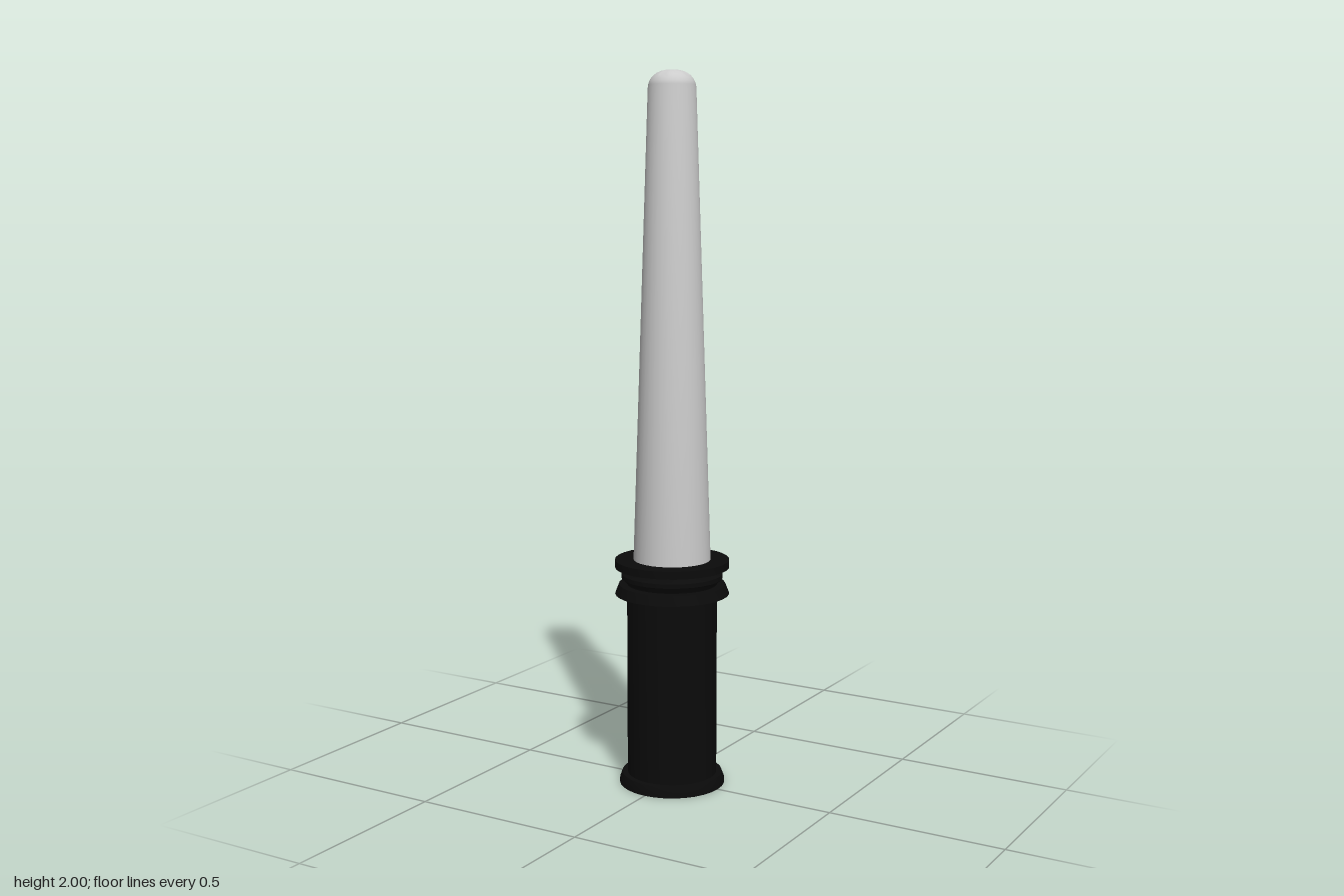
import * as THREE from 'three';
import { toCreasedNormals } from 'three/addons/utils/BufferGeometryUtils.js';

const SIDES = 32;

export function createModel() {
  const group = new THREE.Group();
  const black = new THREE.MeshStandardMaterial({ color: 0x0b0b0b });
  const grey = new THREE.MeshStandardMaterial({ color: 0xcccccc });

  // Turned part from [radius, height] pairs, listed bottom to top
  function turned(name, profile, material) {
    const points = profile.map(([r, y]) => new THREE.Vector2(r, y));
    const geometry = toCreasedNormals(new THREE.LatheGeometry(points, SIDES), 0.6);
    const mesh = new THREE.Mesh(geometry, material);
    mesh.name = name;
    group.add(mesh);
  }

  // Handle: flared foot and plain grip
  turned('endCap', [[0, 0], [0.15, 0], [0.15, 0.008], [0.142, 0.03], [0.12, 0.03]], black);
  turned('grip', [[0.127, 0.02], [0.127, 0.565]], black);

  // Collar: sloped lower flange, bevelled middle ring and flat upper flange
  turned('lowerFlange', [[0.12, 0.552], [0.161, 0.552], [0.15, 0.58], [0.11, 0.58]], black);
  turned('collarRing', [[0.125, 0.575], [0.128, 0.583], [0.143, 0.598], [0.143, 0.61], [0.128, 0.622], [0.125, 0.63]], black);
  turned('upperFlange', [[0.11, 0.628], [0.161, 0.628], [0.161, 0.65], [0, 0.65]], black);

  // Tapered wand with a rounded tip
  const wand = [[0.109, 0.64], [0.066, 1.95]];
  for (let i = 1; i <= 8; i++) {
    const a = (i / 8) * Math.PI / 2;
    wand.push([0.066 * Math.cos(a) ** 0.8, 1.95 + 0.05 * Math.sin(a)]);
  }
  wand[wand.length - 1][0] = 0;
  turned('wand', wand, grey);

  return group;
}
